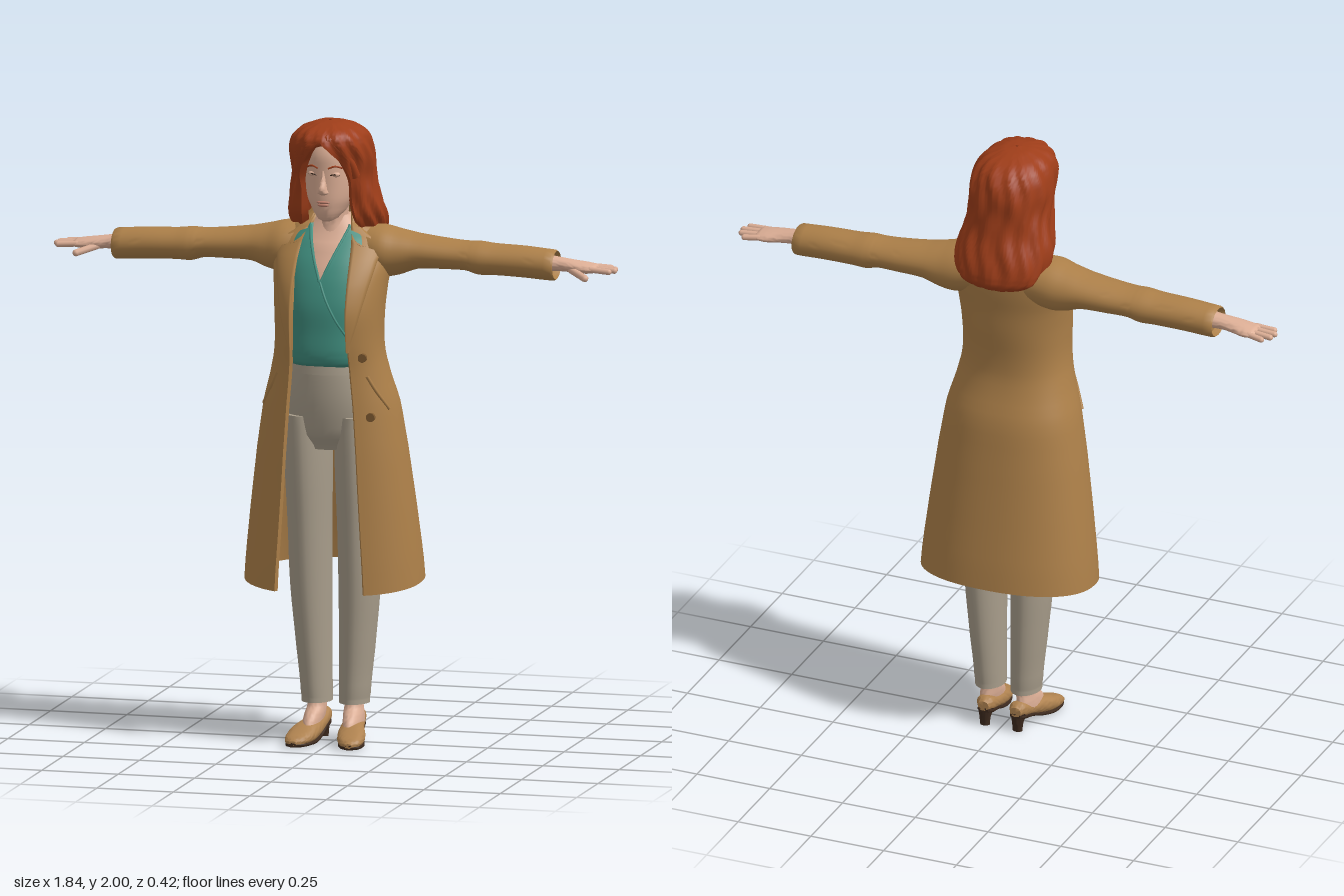
import * as THREE from 'three';
import { toCreasedNormals } from 'three/addons/utils/BufferGeometryUtils.js';

const mat = (name, color, side = THREE.FrontSide) => {
  const m = new THREE.MeshStandardMaterial({ color, side });
  m.name = name;
  return m;
};
const V = (x, y, z) => new THREE.Vector3(x, y, z);
const spow = (v, p) => Math.sign(v) * Math.pow(Math.abs(v), p);

// Surface through a list of point rows
function grid(rows, closed = false) {
  const n = rows[0].length, pos = [], idx = [];
  rows.forEach(r => r.forEach(p => pos.push(p.x, p.y, p.z)));
  for (let i = 0; i < rows.length - 1; i++)
    for (let j = 0; j < (closed ? n : n - 1); j++) {
      const k = (j + 1) % n, a = i * n + j, b = a + n, c = i * n + k, d = c + n;
      idx.push(a, b, c, b, d, c);
    }
  const g = new THREE.BufferGeometry();
  g.setAttribute('position', new THREE.Float32BufferAttribute(pos, 3));
  g.setIndex(idx);
  g.computeVertexNormals();
  return g;
}

// Catmull-Rom blend of key rows; the first column is blended linearly
function blend(keys, i, k) {
  const p = o => keys[Math.min(keys.length - 1, Math.max(0, i + o))];
  const [a, b, c, d] = [p(-1), p(0), p(1), p(2)];
  return b.map((_, j) => j === 0 ? b[0] + (c[0] - b[0]) * k
    : 0.5 * (2 * b[j] + (c[j] - a[j]) * k + (2 * a[j] - 5 * b[j] + 4 * c[j] - d[j]) * k * k
      + (3 * b[j] - a[j] - 3 * c[j] + d[j]) * k ** 3));
}
function smooth(keys, steps = 4) {
  const out = [];
  for (let i = 0; i < keys.length - 1; i++)
    for (let s = 0; s < steps; s++) out.push(blend(keys, i, s / steps));
  out.push(keys[keys.length - 1]);
  return out;
}
function at(keys, y) {
  let i = 0;
  while (i < keys.length - 2 && y < keys[i + 1][0]) i++;
  return blend(keys, i, (keys[i][0] - y) / (keys[i][0] - keys[i + 1][0]));
}

// Capped body along an axis. Keys: [position, centre, half width, max, min]
function loft(keys, axis, { n = 28, p = 1, steps = 4 } = {}) {
  const rows = smooth(keys, steps).map(([q, c, w, hi, lo]) => Array.from({ length: n }, (_, j) => {
    const t = j / n * Math.PI * 2;
    const u = c + w * spow(Math.sin(t), p), v = (hi + lo) / 2 + (hi - lo) / 2 * spow(Math.cos(t), p);
    return axis === 'y' ? V(u, q, v) : axis === 'x' ? V(q, u, v) : V(u, v, q);
  }));
  const cap = r => {
    const c = r.reduce((s, v) => s.add(v), V(0, 0, 0)).divideScalar(n);
    return r.map(() => c);
  };
  return toCreasedNormals(grid([cap(rows[0]), ...rows, cap(rows[rows.length - 1])], true), 0.9);
}

// Garment cross-section, open at the front. Keys: [y, half width, front z, back z, opening]
const P = 0.88;
function around([y, w, zf, zb], t, inset = 0, ripple = 1) {
  const d = (zf - zb) / 2;
  return V(Math.max(w - inset, 0.001) * ripple * spow(Math.sin(t), P), y,
    (zf + zb) / 2 + Math.max(d - inset, 0.001) * ripple * spow(Math.cos(t), P));
}
const openAngle = r => Math.asin(Math.pow(Math.min(0.96, Math.max(0, r[4]) / r[1]), 1 / P));
function shell(keys, { n = 56, thick = 0.014, lining = true, ripple = () => 1, sag = () => 0 } = {}) {
  const row = (r, inset, edge) => {
    const t0 = openAngle(r), out = [];
    for (let j = -1; j <= n + 1; j++) {
      const t = t0 + (Math.PI * 2 - 2 * t0) * Math.min(n, Math.max(0, j)) / n;
      const v = around(r, t, j < 0 || j > n ? edge : inset, ripple(t, r[0]));
      v.y += sag(t, r[0]);
      out.push(v);
    }
    return out;
  };
  const rs = smooth(keys), rows = rs.map(r => row(r, 0, thick));
  if (lining) rs.slice().reverse().forEach(r => rows.push(row(r, thick, thick)));
  return toCreasedNormals(grid(rows), 0.8);
}

function mirrored(g) {
  const m = (g.index ? g.toNonIndexed() : g.clone()).scale(-1, 1, 1);
  for (const a of Object.values(m.attributes))
    for (let i = 0; i < a.count; i += 3)
      for (let c = 0; c < a.itemSize; c++) {
        const s = a.getComponent(i, c);
        a.setComponent(i, c, a.getComponent(i + 1, c));
        a.setComponent(i + 1, c, s);
      }
  return m;
}
const tube = (pts, r, seg = 20) =>
  new THREE.TubeGeometry(new THREE.CatmullRomCurve3(pts), seg, r, 8);

function finger(a, b, r) {
  const dir = b.clone().sub(a), g = new THREE.CapsuleGeometry(r, dir.length(), 4, 10);
  g.applyQuaternion(new THREE.Quaternion().setFromUnitVectors(V(0, 1, 0), dir.clone().normalize()));
  const m = a.clone().add(b).multiplyScalar(0.5);
  return g.translate(m.x, m.y, m.z);
}

export function createModel() {
  const model = new THREE.Group();
  const D = THREE.DoubleSide;
  const coat = mat('camel coat', 0xad8049, D), skin = mat('skin', 0xdcae95), teal = mat('teal blouse', 0x3f8c7d, D);
  const grey = mat('stone trousers', 0xa89d8b), hair = mat('auburn hair', 0x9e3d19, D);
  const leather = mat('tan leather', 0xb08350), dark = mat('dark brown', 0x3c291d);
  const lip = mat('lip', 0xbd7f6c), horn = mat('button brown', 0x7d5930);
  const add = (name, g, m) => {
    const mesh = new THREE.Mesh(g, m);
    mesh.name = name;
    model.add(mesh);
    return mesh;
  };
  const pair = (name, g, m) => {
    add('left ' + name, g, m);
    add('right ' + name, mirrored(g), m);
  };

  // Long open coat
  const coatKeys = [
    [1.685, .08, .03, -.095, .062], [1.66, .135, .055, -.105, .07], [1.62, .175, .09, -.11, .083],
    [1.55, .188, .145, -.108, .09], [1.48, .181, .188, -.1, .092], [1.4, .174, .213, -.095, .093],
    [1.3, .172, .208, -.086, .095], [1.22, .184, .195, -.092, .1], [1.1, .216, .192, -.128, .11],
    [.95, .24, .195, -.15, .12], [.75, .265, .2, -.178, .132], [.525, .287, .207, -.208, .146]];
  add('coat body', shell(coatKeys, { sag: (t, y) => -0.025 * Math.cos(t) * Math.max(0, (1 - y) / .475) }), coat);
  add('coat collar', shell([[1.71, .078, .02, -.095, .06], [1.685, .098, .045, -.112, .065],
    [1.645, .145, .075, -.122, .08]], { thick: .01 }), coat);

  // Folded lapels and collar points laid on the coat front
  const frontZ = (x, y) => {
    const r = at(coatKeys, y), s = Math.pow(Math.min(.93, x / r[1]), 1 / P);
    return around(r, Math.asin(Math.min(1, s))).z;
  };
  const flap = keys => grid(smooth(keys, 5).map(([y, x0, x1, drop = 0]) => {
    const row = [];
    for (let j = -1; j <= 9; j++) {
      const k = Math.min(8, Math.max(0, j)) / 8, x = x0 + (x1 - x0) * k, yy = y - drop * k;
      row.push(V(x, yy, frontZ(x, yy) + (j < 0 || j > 8 ? -.004 : .013)));
    }
    return row;
  }));
  pair('lapel', flap([[1.64, .076, .1, .03], [1.615, .081, .165, .025], [1.56, .086, .163, 0],
    [1.48, .089, .147, 0], [1.38, .09, .124, 0], [1.28, .092, .098, 0]]), coat);
  pair('collar point', flap([[1.69, .06, .085, .02], [1.67, .066, .12, .03], [1.65, .072, .152, .03]]), coat);
  pair('pocket welt', tube([[1.2, .85], [1.15, .98], [1.09, 1.2]].map(([y, t]) => around(at(coatKeys, y), t)), .006), coat);
  [[.135, 1.26], [.16, 1.07]].forEach(([x, y]) => {
    const b = add('button', new THREE.CylinderGeometry(.014, .014, .014, 20), horn);
    b.rotation.x = Math.PI / 2;
    b.position.set(x, y, frontZ(x, y) + .003);
  });

  // Sleeves, hands and fingers
  pair('sleeve', loft([[.09, 1.585, .075, .07, -.1], [.16, 1.578, .082, .085, -.105], [.21, 1.575, .073, .075, -.103],
    [.27, 1.579, .056, .062, -.098], [.36, 1.575, .049, .054, -.092], [.43, 1.572, .047, .05, -.086],
    [.47, 1.567, .053, .052, -.086], [.52, 1.565, .05, .049, -.082], [.62, 1.562, .05, .046, -.076],
    [.715, 1.556, .049, .045, -.071], [.722, 1.556, .045, .041, -.067], [.7, 1.556, .038, .033, -.06]],
    'x', { n: 32 }), coat);
  pair('hand', loft([[.69, 1.562, .026, .02, -.046], [.74, 1.56, .022, .018, -.044], [.78, 1.556, .02, .024, -.05],
    [.82, 1.552, .018, .026, -.06], [.85, 1.551, .013, .024, -.06], [.858, 1.551, .007, .018, -.054]], 'x'), skin);
  [[-.052, .888], [-.03, .908], [-.007, .912], [.016, .9]].forEach(([z, x]) =>
    pair('finger', finger(V(.84, 1.552, z * .95), V(x, 1.548, z * 1.12), .0095), skin));
  pair('thumb', finger(V(.775, 1.548, .01), V(.832, 1.53, .052), .0115), skin);

  // Chest and wrap blouse with a V neck
  add('chest', loft([[1.69, 0, .055, .04, -.05], [1.64, 0, .1, .062, -.07], [1.6, 0, .12, .09, -.07],
    [1.52, 0, .125, .132, -.06], [1.42, 0, .12, .165, -.05], [1.36, 0, .12, .165, -.05]], 'y'), skin);
  const blouse = [[1.665, .1, .065, -.08, .064], [1.62, .135, .105, -.08, .05], [1.56, .145, .15, -.075, .026],
    [1.5, .145, .178, -.07, .002], [1.42, .145, .197, -.07, 0], [1.34, .14, .198, -.07, 0],
    [1.27, .138, .2, -.07, 0], [1.235, .134, .19, -.07, 0], [1.225, .125, .165, -.06, 0]];
  add('blouse', shell(blouse, { lining: false, thick: .01 }), teal);
  const onBlouse = (x, y) => {
    const r = at(blouse, y);
    return V(x, y, around(r, Math.asin(Math.pow(Math.abs(x) / r[1], 1 / P))).z);
  };
  pair('neckline edge', tube([[.064, 1.66], [.05, 1.62], [.026, 1.56], [.002, 1.5]].map(q => onBlouse(...q)), .004), teal);
  add('wrap fold', tube([[0, 1.5], [.025, 1.44], [.055, 1.38], [.085, 1.33]].map(q => onBlouse(...q)), .004), teal);

  // Trousers
  add('trouser hips', loft([[1.245, 0, .122, .163, -.06], [1.2, 0, .132, .166, -.07], [1.1, 0, .155, .16, -.1],
    [1, 0, .158, .14, -.115], [.95, 0, .12, .11, -.1]], 'y', { n: 36 }), grey);
  add('waistband', loft([[1.235, 0, .128, .17, -.064], [1.2, 0, .136, .172, -.075]], 'y', { n: 36 }), grey);
  pair('trouser leg', loft([[1.06, .083, .074, .148, -.105], [.9, .082, .074, .134, -.11], [.7, .081, .069, .108, -.105],
    [.5, .079, .066, .086, -.1], [.3, .07, .057, .066, -.088], [.15, .062, .05, .055, -.077],
    [.125, .061, .049, .054, -.076]], 'y', { p: 1.1 }), grey);

  // Feet and heeled pumps
  pair('ankle', loft([[.16, .06, .03, .03, -.055], [.115, .06, .029, .035, -.055], [.088, .063, .031, .068, -.062],
    [.06, .066, .03, .09, -.06]], 'y'), skin);
  const shoe = [[-.086, .055, .018, .086, .054], [-.065, .056, .029, .098, .046], [-.02, .06, .033, .083, .036],
    [.03, .067, .038, .076, .017], [.08, .077, .045, .064, .006], [.12, .084, .043, .047, .005],
    [.152, .089, .032, .034, .005], [.171, .091, .012, .022, .007]];
  pair('shoe', loft(shoe, 'z', { p: .85 }), leather);
  pair('shoe sole', loft(shoe.map(([z, c, w, , lo]) => [z, c, w * .95, lo + .01, lo - .005]), 'z', { p: .6 }), dark);
  pair('shoe heel', loft([[.062, .056, .027, -.032, -.086], [.03, .056, .019, -.052, -.084],
    [0, .056, .016, -.056, -.082]], 'y'), dark);

  // Head, neck and face
  add('head', loft([[1.975, 0, .035, .08, 0], [1.95, 0, .065, .118, -.06], [1.9, 0, .081, .141, -.08],
    [1.85, 0, .084, .142, -.085], [1.8, 0, .082, .141, -.08], [1.75, 0, .071, .14, -.06],
    [1.71, 0, .049, .133, -.02], [1.69, 0, .031, .124, .03], [1.682, 0, .016, .112, .06]], 'y', { n: 40, p: .95 }), skin);
  add('neck', loft([[1.76, 0, .05, .07, -.06], [1.7, 0, .044, .058, -.052], [1.66, 0, .047, .058, -.055],
    [1.6, 0, .07, .07, -.06]], 'y'), skin);
  add('nose', loft([[1.85, 0, .007, .143, .12], [1.82, 0, .009, .152, .12], [1.79, 0, .014, .167, .12],
    [1.778, 0, .018, .16, .12], [1.772, 0, .01, .146, .12]], 'y', { n: 16 }), skin);
  const faceSpot = (name, x, y, z, sx, sy, sz, m) =>
    add(name, new THREE.SphereGeometry(1, 20, 12).scale(sx, sy, sz).translate(x, y, z), m);
  faceSpot('upper lip', 0, 1.748, .138, .022, .005, .007, lip);
  faceSpot('lower lip', 0, 1.739, .137, .019, .006, .007, lip);
  [-1, 1].forEach(s => {
    faceSpot('eyelid', s * .034, 1.837, .124, .018, .01, .012, skin);
    add('lash line', tube([V(s * .018, 1.833, .136), V(s * .034, 1.838, .137), V(s * .051, 1.835, .125)], .0018), dark);
    add('eyebrow', tube([V(s * .016, 1.857, .14), V(s * .037, 1.864, .134), V(s * .058, 1.857, .118)], .0028), hair);
    faceSpot('ear', s * .084, 1.81, .03, .01, .03, .018, skin);
  });

  // Wavy shoulder-length hair framing the face
  const locks = (t, y) => 1 + .028 * Math.sin(t * 15 + Math.sin(y * 26) * 1.6) + .015 * Math.sin(t * 6 + y * 40);
  add('hair', shell([[2, .004, .06, .05, 0], [1.995, .045, .11, 0, 0], [1.978, .088, .163, -.055, 0],
    [1.955, .112, .186, -.088, 0], [1.925, .125, .186, -.107, .025], [1.88, .131, .166, -.118, .062],
    [1.82, .129, .138, -.122, .082], [1.76, .139, .12, -.132, .085], [1.7, .153, .1, -.155, .087],
    [1.65, .15, .055, -.168, .09], [1.61, .13, .0, -.17, .08], [1.588, .09, -.05, -.155, .05],
    [1.58, .02, -.09, -.12, .005]], { n: 150, thick: .028, lining: false, ripple: locks }), hair);
  add('parting lock', tube([V(.025, 1.955, .165), V(-.03, 1.94, .168), V(-.07, 1.895, .135), V(-.093, 1.84, .1)], .017, 28), hair);
  add('side lock', tube([V(.025, 1.955, .165), V(.055, 1.925, .158), V(.082, 1.88, .125), V(.095, 1.83, .098)], .015, 28), hair);
  return model;
}
